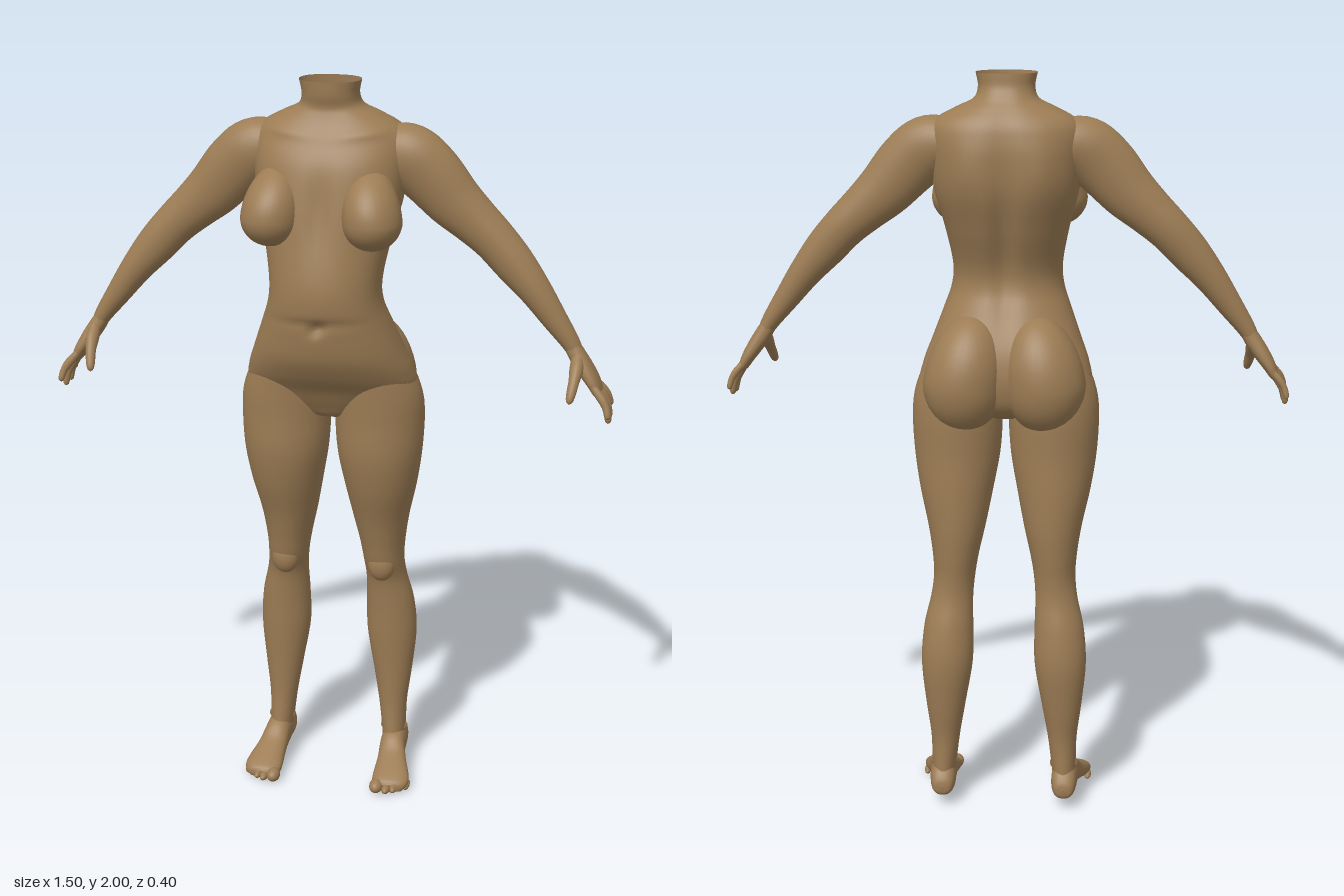
import * as THREE from 'three';

const skin = new THREE.MeshStandardMaterial({ color: 0x9c7c54, side: THREE.DoubleSide });
const X = new THREE.Vector3(1, 0, 0), Y = new THREE.Vector3(0, 1, 0), Z = new THREE.Vector3(0, 0, 1);

// Smooth tube through sections [x, y, z, radiusA, radiusB]; radiusB lies along ref.
// A fixed axis keeps all rings parallel; power above 2 squares the rings off.
function loft(sections, { ref = Z, axis = null, rows = 5, sides = 24, power = 2, deform = null } = {}) {
  const path = new THREE.CatmullRomCurve3(sections.map(s => new THREE.Vector3(s[0], s[1], s[2])), false, 'catmullrom');
  const size = new THREE.CatmullRomCurve3(sections.map(s => new THREE.Vector3(s[3], s[4], 0)), false, 'catmullrom');
  const n = (sections.length - 1) * rows, pos = [], idx = [];
  const round = c => Math.sign(c) * Math.pow(Math.abs(c), 2 / power);
  for (let i = 0; i <= n; i++) {
    const c = path.getPoint(i / n), r = size.getPoint(i / n);
    const t = axis || path.getTangent(i / n);
    const u = ref.clone().cross(t).normalize(), v = t.clone().cross(u);
    for (let j = 0; j < sides; j++) {
      const a = j / sides * Math.PI * 2;
      const p = c.clone()
        .addScaledVector(u, Math.max(r.x, 0.001) * round(Math.cos(a)))
        .addScaledVector(v, Math.max(r.y, 0.001) * round(Math.sin(a)));
      if (deform) deform(p);
      pos.push(p.x, p.y, p.z);
      if (i < n) {
        const A = i * sides + j, B = i * sides + (j + 1) % sides;
        idx.push(A, B, B + sides, A, B + sides, A + sides);
      }
    }
  }
  const g = new THREE.BufferGeometry();
  g.setAttribute('position', new THREE.Float32BufferAttribute(pos, 3));
  g.setIndex(idx);
  g.computeVertexNormals();
  return g;
}

function ellipsoid(x, y, z, rx, ry, rz, rule) {
  const g = new THREE.SphereGeometry(1, 32, 24), p = g.attributes.position, v = new THREE.Vector3();
  if (rule) for (let i = 0; i < p.count; i++) {
    rule(v.fromBufferAttribute(p, i));
    p.setXYZ(i, v.x, v.y, v.z);
  }
  g.scale(rx, ry, rz).translate(x, y, z);
  g.computeVertexNormals();
  return g;
}

// Copy across x = 0 with the corner order reversed
function mirrored(geometry) {
  const g = geometry.clone().scale(-1, 1, 1), a = g.index.array;
  for (let i = 0; i < a.length; i += 3) [a[i], a[i + 1]] = [a[i + 1], a[i]];
  g.computeVertexNormals();
  return g;
}

const bump = (d, w) => Math.exp(-(d * d) / (w * w));

export function createModel() {
  const model = new THREE.Group();
  model.name = 'body';
  const add = (name, g) => {
    const m = new THREE.Mesh(g, skin);
    m.name = name;
    model.add(m);
  };
  const pair = (name, g) => {
    add('left' + name, g);
    add('right' + name, mirrored(g));
  };

  // Torso and open neck: [y, half width, front z, back z]
  const torso = [
    [2, .08, .068, -.063], [1.965, .074, .066, -.068], [1.935, .085, .06, -.085],
    [1.913, .13, .066, -.102], [1.885, .18, .08, -.122], [1.85, .2, .1, -.136],
    [1.79, .2, .13, -.146], [1.7, .19, .152, -.143], [1.6, .165, .17, -.112],
    [1.5, .147, .188, -.073], [1.44, .15, .189, -.07], [1.38, .17, .178, -.095],
    [1.3, .2, .162, -.135], [1.24, .222, .13, -.15], [1.19, .226, .092, -.15],
    [1.14, .17, .062, -.135], [1.105, .08, .035, -.1], [1.09, .005, -.02, -.05],
  ].map(([y, w, f, b]) => [0, y, (f + b) / 2, w, (f - b) / 2]);
  add('torso', loft(torso, {
    axis: Y.clone().negate(), rows: 6, sides: 72, power: 2.25,
    deform: p => {
      if (p.z < -.03) {
        // Spine groove between the back muscles
        p.z += .022 * bump(p.x, .03) * bump(p.y - 1.6, .22);
        // Shoulder blades
        p.z -= .008 * bump(Math.abs(p.x) - .1, .04) * bump(p.y - 1.75, .08);
      } else if (p.z > .04) {
        // Navel, the crease over the belly and the breastbone hollow
        p.z -= .02 * bump(p.x, .016) * bump(p.y - 1.385, .014);
        p.z -= .006 * bump(p.x, .1) * bump(p.y - 1.4, .012);
        p.z -= .012 * bump(p.x, .03) * bump(p.y - 1.68, .1);
        // Collar bones
        p.z += .006 * bump(p.y - 1.865 - Math.abs(p.x) * .1, .014) * bump(Math.abs(p.x) - .11, .07);
      }
    },
  }));

  // Chest: full below, tapering back into the collar above
  pair('Breast', ellipsoid(.132, 1.663, .118, .077, .074, .084, v => {
    if (v.y > 0) {
      v.z -= .55 * v.y * v.y;
      v.x -= .15 * v.y;
      v.y *= 1.75;
    }
  }));

  // Buttocks
  pair('Buttock', ellipsoid(.108, 1.2, -.092, .108, .135, .108, v => {
    if (v.y > 0) {
      v.z += .2 * v.y * v.y;
      v.x -= .2 * v.y;
      v.y *= 1.3;
    }
  }));

  // Legs: [y, outer x, inner x, front z, back z]
  const leg = [
    [1.31, .17, .06, .08, -.08], [1.24, .215, .03, .09, -.13], [1.17, .243, .012, .088, -.145],
    [1.1, .25, .008, .085, -.152], [1, .245, .014, .083, -.152], [.9, .23, .032, .062, -.157],
    [.8, .208, .052, .028, -.158], [.72, .196, .07, .006, -.153], [.66, .193, .08, -.008, -.148],
    [.6, .2, .085, -.034, -.152], [.52, .218, .084, -.044, -.172], [.42, .225, .085, -.05, -.184],
    [.3, .214, .105, -.058, -.172], [.2, .202, .122, -.06, -.157], [.12, .2, .132, -.052, -.158],
    [.07, .198, .138, -.045, -.16], [.045, .19, .145, -.06, -.15],
  ].map(([y, o, i, f, b]) => [(o + i) / 2, y, (f + b) / 2, (o - i) / 2, (f - b) / 2]);
  pair('Leg', loft(leg, { axis: Y.clone().negate(), sides: 36 }));
  pair('Kneecap', ellipsoid(.137, .655, -.035, .038, .05, .032));
  pair('AnkleBones', ellipsoid(.167, .115, -.105, .039, .024, .024));

  // Feet: [z, centre x, half width, bottom y, top y]
  const foot = [
    [-.176, .168, .003, .055, .062], [-.17, .168, .024, .038, .085], [-.145, .168, .034, .028, .115],
    [-.1, .17, .036, .024, .125], [-.05, .172, .037, .022, .115], [-.01, .178, .042, .014, .084],
    [.03, .184, .05, .005, .064], [.06, .186, .052, .001, .05], [.082, .184, .042, .002, .038],
    [.09, .182, .02, .008, .028],
  ].map(([z, x, w, b, t]) => [x, (b + t) / 2, z, w, (t - b) / 2]);
  pair('Foot', loft(foot, { ref: Y, axis: Z, sides: 28, power: 2.3 }));

  // Toes, from the big one on the inside outwards: [x, tip z, radius]
  [[.15, .112, .019], [.178, .108, .012], [.198, .098, .011], [.215, .086, .011], [.23, .072, .01]]
    .forEach(([x, z, r], i) => pair('Toe' + (i + 1), ellipsoid(x, r, z - .026, r, r, .026)));

  // Arms: [x, y, z, thickness radius, depth radius]
  pair('Arm', loft([
    [.08, 1.82, -.025, .04, .05], [.14, 1.818, -.022, .066, .066], [.2, 1.808, -.015, .083, .069],
    [.255, 1.765, -.015, .083, .062], [.315, 1.7, -.018, .074, .056], [.37, 1.65, -.02, .064, .053],
    [.425, 1.6, -.02, .057, .051], [.48, 1.54, -.016, .053, .047], [.535, 1.475, -.012, .043, .042],
    [.59, 1.4, -.01, .033, .034], [.63, 1.345, -.01, .025, .028], [.65, 1.312, -.01, .02, .026],
  ], { sides: 30 }));

  // Hands
  pair('Palm', loft([
    [.628, 1.348, -.01, .018, .022], [.65, 1.312, -.009, .022, .03], [.675, 1.275, -.007, .021, .041],
    [.698, 1.24, -.006, .017, .048], [.711, 1.215, -.006, .012, .046], [.716, 1.206, -.006, .003, .03],
  ], { sides: 24, power: 2.4 }));

  // Fingers: [base z, tip z, tip y, radius]
  [[.032, .058, 1.158, .0105], [.007, .02, 1.135, .011], [-.019, -.02, 1.137, .0105], [-.042, -.06, 1.16, .009]]
    .forEach(([z0, z1, y1, r], i) => {
      const at = (t, s) => [.7 + .042 * Math.sin(t * 1.7), 1.235 + (y1 - 1.235) * t, z0 + (z1 - z0) * t, r * s, r * s];
      pair('Finger' + (i + 1), loft([at(0, 1), at(.35, 1.1), at(.6, .95), at(.85, .85), at(.96, .6), at(1, .05)],
        { sides: 12, rows: 3 }));
    });
  pair('Thumb', loft([
    [.655, 1.305, .008, .016, .016], [.655, 1.28, .035, .019, .018], [.652, 1.255, .06, .014, .014],
    [.648, 1.23, .078, .0125, .0125], [.645, 1.212, .089, .009, .009], [.644, 1.205, .093, .001, .001],
  ], { ref: X, sides: 14, rows: 3 }));

  return model;
}
